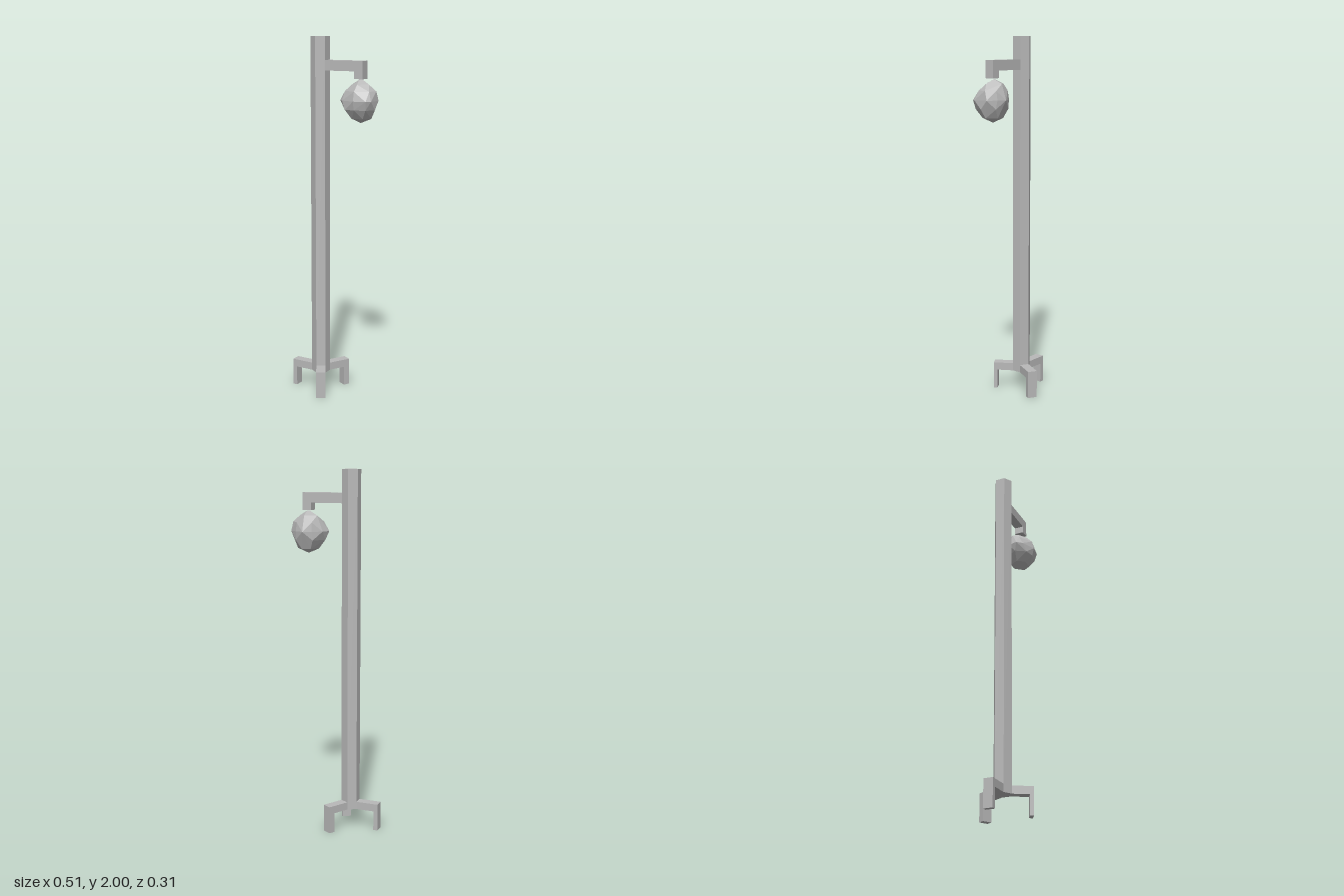
import * as THREE from 'three';
import { ConvexGeometry } from 'three/addons/geometries/ConvexGeometry.js';

const CX = -0.083, CZ = 0.005, WIDTH = 0.052;

// L-shaped bracket: runs outwards from the pole axis, then turns down
function bracket(name, material, angle, inner, outer, top, under, bottom, thick) {
  const shape = new THREE.Shape([
    [inner, top], [inner, under], [outer - thick, under],
    [outer - thick, bottom], [outer, bottom], [outer, top],
  ].map(([x, y]) => new THREE.Vector2(x, y)));
  const geo = new THREE.ExtrudeGeometry(shape, { depth: WIDTH, bevelEnabled: false });
  geo.translate(0, 0, -WIDTH / 2);
  const mesh = new THREE.Mesh(geo, material);
  mesh.name = name;
  mesh.rotation.y = angle;
  mesh.position.set(CX, 0, CZ);
  return mesh;
}

export function createModel() {
  const group = new THREE.Group();
  group.name = 'lampPost';
  const grey = new THREE.MeshStandardMaterial({ color: 0xb8b8b8, flatShading: true });
  grey.name = 'grey';

  // Six-sided pole
  const pole = new THREE.Mesh(new THREE.CylinderGeometry(WIDTH, WIDTH, 1.89, 6), grey);
  pole.name = 'pole';
  pole.position.set(CX, 0.11 + 1.89 / 2, CZ);
  group.add(pole);

  // Three bent feet, slightly uneven in length
  const third = Math.PI / 3;
  group.add(
    bracket('sideLeg', grey, Math.PI, 0.044, 0.172, 0.153, 0.11, 0, 0.025),
    bracket('backLeg', grey, third, 0.044, 0.172, 0.153, 0.11, 0, 0.035),
    bracket('frontLeg', grey, -third, 0.044, 0.156, 0.153, 0.11, 0, 0.02),
  );

  // Arm with the hook that carries the lamp
  group.add(bracket('arm', grey, 0, 0.044, 0.274, 1.875, 1.82, 1.78, 0.051));

  // Faceted lamp: irregular rings of corners wrapped in a convex skin
  const rings = [
    // y, [x, z] corners
    [1.776, [[0.155, 0.0], [0.17, -0.01]]],
    [1.752, [[0.105, -0.02], [0.165, 0.045], [0.215, 0.005], [0.165, -0.06]]],
    [1.717, [[0.085, 0.03], [0.165, 0.078], [0.235, 0.04], [0.249, -0.015], [0.21, -0.06], [0.12, -0.062]]],
    [1.667, [[0.053, 0.025], [0.08, 0.055], [0.165, 0.09], [0.235, 0.08], [0.254, 0.055],
      [0.254, -0.031], [0.21, -0.067], [0.165, -0.088], [0.12, -0.067], [0.07, -0.03]]],
    [1.62, [[0.07, 0.01], [0.105, 0.068], [0.165, 0.08], [0.228, 0.068], [0.254, 0.01], [0.215, -0.06], [0.115, -0.062]]],
    [1.572, [[0.106, 0.005], [0.135, 0.045], [0.2, 0.045], [0.228, 0], [0.185, -0.048], [0.135, -0.043]]],
    [1.547, [[0.165, 0.002]]],
  ];
  const corners = rings.flatMap(([y, ring]) => ring.map(([x, z]) => new THREE.Vector3(x, y, z)));
  const lamp = new THREE.Mesh(new ConvexGeometry(corners), grey);
  lamp.name = 'lamp';
  group.add(lamp);

  return group;
}
